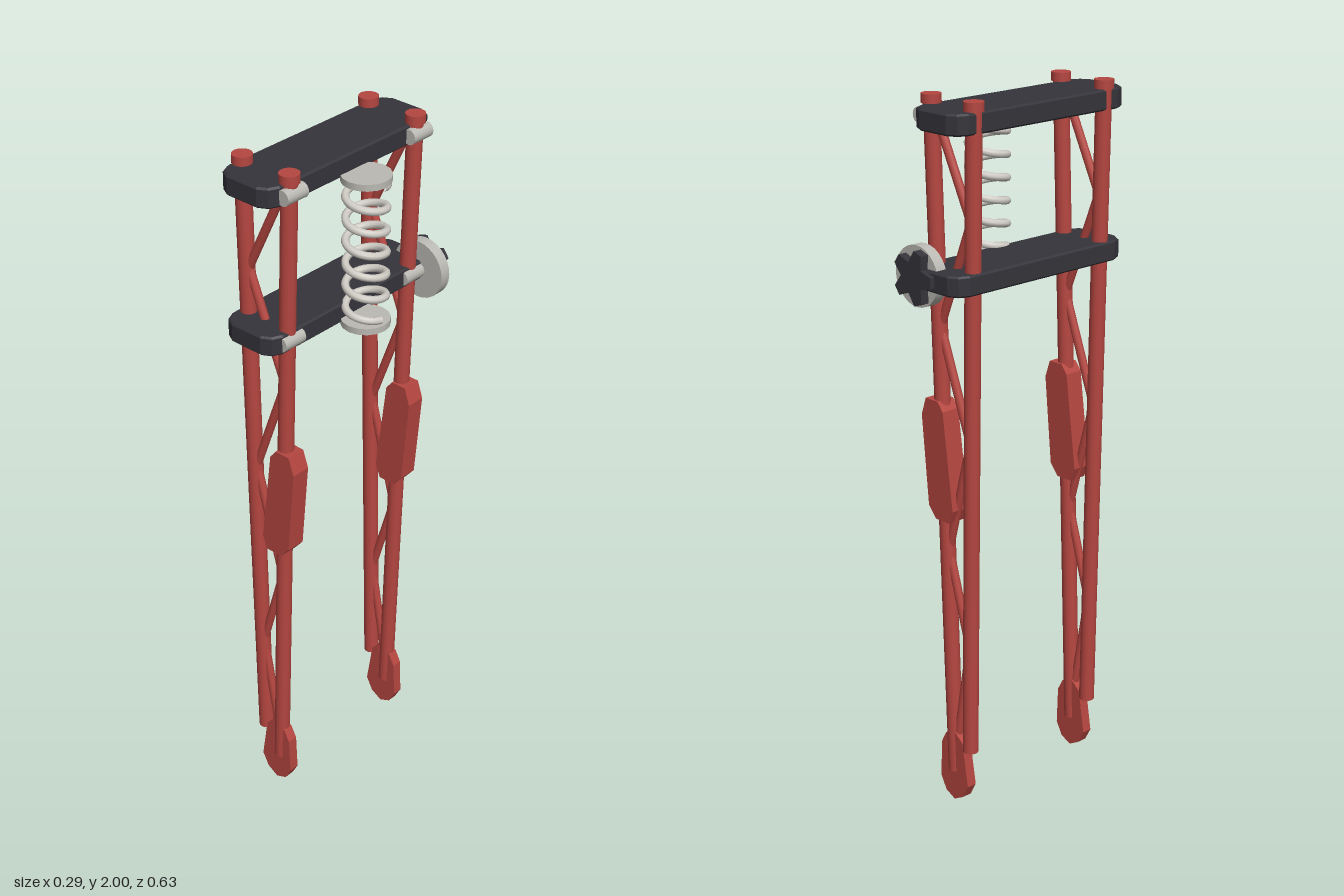
import * as THREE from 'three';

export function createModel() {
  const model = new THREE.Group();
  model.name = 'springFork';
  const mat = (name, color) => {
    const m = new THREE.MeshStandardMaterial({ color });
    m.name = name;
    return m;
  };
  const red = mat('red paint', 0xb54640);
  const black = mat('black plate', 0x35343b);
  const silver = mat('silver', 0xbab9b3);
  const steel = mat('spring steel', 0xd0ccc5);

  const add = (parent, name, geo, material, x = 0, y = 0, z = 0) => {
    const mesh = new THREE.Mesh(geo, material);
    mesh.name = name;
    mesh.position.set(x, y, z);
    parent.add(mesh);
    return mesh;
  };

  // Round bar between two points in the xy plane
  const bar = (parent, name, a, b, r, sides = 16) => {
    const p = new THREE.Vector3(a[0], a[1], 0);
    const q = new THREE.Vector3(b[0], b[1], 0);
    const d = q.clone().sub(p);
    const mesh = add(parent, name, new THREE.CylinderGeometry(r, r, d.length(), sides), red);
    mesh.position.copy(p).add(q).multiplyScalar(0.5);
    mesh.quaternion.setFromUnitVectors(new THREE.Vector3(0, 1, 0), d.normalize());
  };

  // Flat outline extruded along z and centred on z = 0
  const slab = (points, depth, bevel = 0) => {
    const shape = new THREE.Shape(points.map(([x, y]) => new THREE.Vector2(x, y)));
    const geo = new THREE.ExtrudeGeometry(shape, {
      depth: depth - 2 * bevel, bevelEnabled: bevel > 0, bevelSegments: 1,
      bevelSize: bevel, bevelThickness: bevel, bevelOffset: -bevel,
    });
    return geo.translate(0, 0, -depth / 2 + bevel);
  };

  const midZ = 0.005;
  const plateHeights = [1.947, 1.534];
  const rearX = (y) => -0.092 - 0.0158 * (y - 0.17);
  const frontX = (y) => -0.032 + 0.0374 * (y - 0.09);

  // Two plates with chamfered round corners
  const corner = [[0.09, 0.265], [0.077, 0.293], [0.05, 0.308]];
  const quarter = (sx, sy) => corner.map(([x, y]) => [x * sx, y * sy]);
  const outline = [
    ...quarter(1, 1), ...quarter(-1, 1).reverse(),
    ...quarter(-1, -1), ...quarter(1, -1).reverse(),
  ];
  plateHeights.forEach((y, i) => {
    const plate = add(model, i ? 'lowerPlate' : 'upperPlate', slab(outline, 0.056, 0.005), black, -0.05, y, midZ);
    plate.rotation.x = -Math.PI / 2;
  });

  // Zigzag bracing and flat plates of each leg
  const zigzag = [[0.025, 1.96], [-0.108, 1.69], [0.012, 1.39], [-0.1, 1.09],
    [-0.012, 0.76], [-0.092, 0.49], [-0.04, 0.19]];
  const fin = [[-0.022, 1.165], [-0.002, 1.19], [0.045, 1.19], [0.062, 1.14],
    [0.038, 0.885], [0.01, 0.852], [-0.042, 0.852], [-0.058, 0.89]];
  const foot = [[-0.096, 0.06], [-0.075, 0.02], [-0.04, 0], [-0.005, 0.016], [0.016, 0.055],
    [0.012, 0.165], [-0.006, 0.2], [-0.045, 0.215], [-0.075, 0.19]];

  for (const side of [-1, 1]) {
    const leg = new THREE.Group();
    leg.name = side < 0 ? 'rightLeg' : 'leftLeg';
    leg.position.z = midZ + side * 0.232;
    model.add(leg);

    bar(leg, 'rearTube', [rearX(0.17), 0.17], [rearX(1.985), 1.985], 0.022);
    bar(leg, 'frontTube', [frontX(0.09), 0.09], [frontX(1.985), 1.985], 0.022);
    for (const x of [rearX(1.99), frontX(1.99)]) {
      add(leg, 'tubeCap', new THREE.CylinderGeometry(0.027, 0.027, 0.024, 20), red, x, 1.988, 0);
    }
    for (let i = 1; i < zigzag.length; i++) bar(leg, 'brace', zigzag[i - 1], zigzag[i], 0.012, 10);
    add(leg, 'sidePlate', slab(fin, 0.056), red);
    add(leg, 'foot', slab(foot, 0.03), red);

    // Clamps where the front tube meets the plates
    for (const y of plateHeights) {
      const clamp = add(leg, 'clamp', new THREE.CylinderGeometry(0.021, 0.021, 0.072, 16), silver, frontX(y) + 0.011, y, 0);
      clamp.rotation.x = Math.PI / 2;
    }
  }

  // Coil spring between two discs
  const spring = new THREE.Group();
  spring.name = 'spring';
  spring.position.set(0.08, 0, midZ);
  model.add(spring);
  const coil = [];
  const turns = 6;
  for (let i = 0; i <= turns * 12; i++) {
    const a = (i / 12) * Math.PI * 2;
    coil.push(new THREE.Vector3(0.053 * Math.cos(a), 1.53 + 0.375 * i / (turns * 12), 0.053 * Math.sin(a)));
  }
  add(spring, 'coil', new THREE.TubeGeometry(new THREE.CatmullRomCurve3(coil), 200, 0.0105, 8), steel);
  for (const y of [1.511, 1.919]) {
    add(spring, 'springSeat', new THREE.CylinderGeometry(0.066, 0.066, 0.018, 16), silver, 0, y, 0);
  }

  // Adjusting knob: disc with a star handle
  const disc = add(model, 'knobDisc', new THREE.CylinderGeometry(0.083, 0.083, 0.032, 28), silver, 0.031, 1.534, -0.276);
  disc.rotation.x = Math.PI / 2;
  const star = [];
  for (let i = 0; i < 5; i++) {
    const a = Math.PI + (i / 5) * Math.PI * 2;
    for (const [da, r] of [[-0.2, 0.074], [0.2, 0.074], [Math.PI / 5, 0.043]]) {
      star.push([r * Math.cos(a + da), r * Math.sin(a + da)]);
    }
  }
  add(model, 'starHandle', slab(star, 0.026), black, 0.022, 1.535, -0.304);
  const pin = add(model, 'knobPin', new THREE.CylinderGeometry(0.016, 0.016, 0.04, 14), silver, 0.022, 1.534, -0.25);
  pin.rotation.x = Math.PI / 2;

  return model;
}
